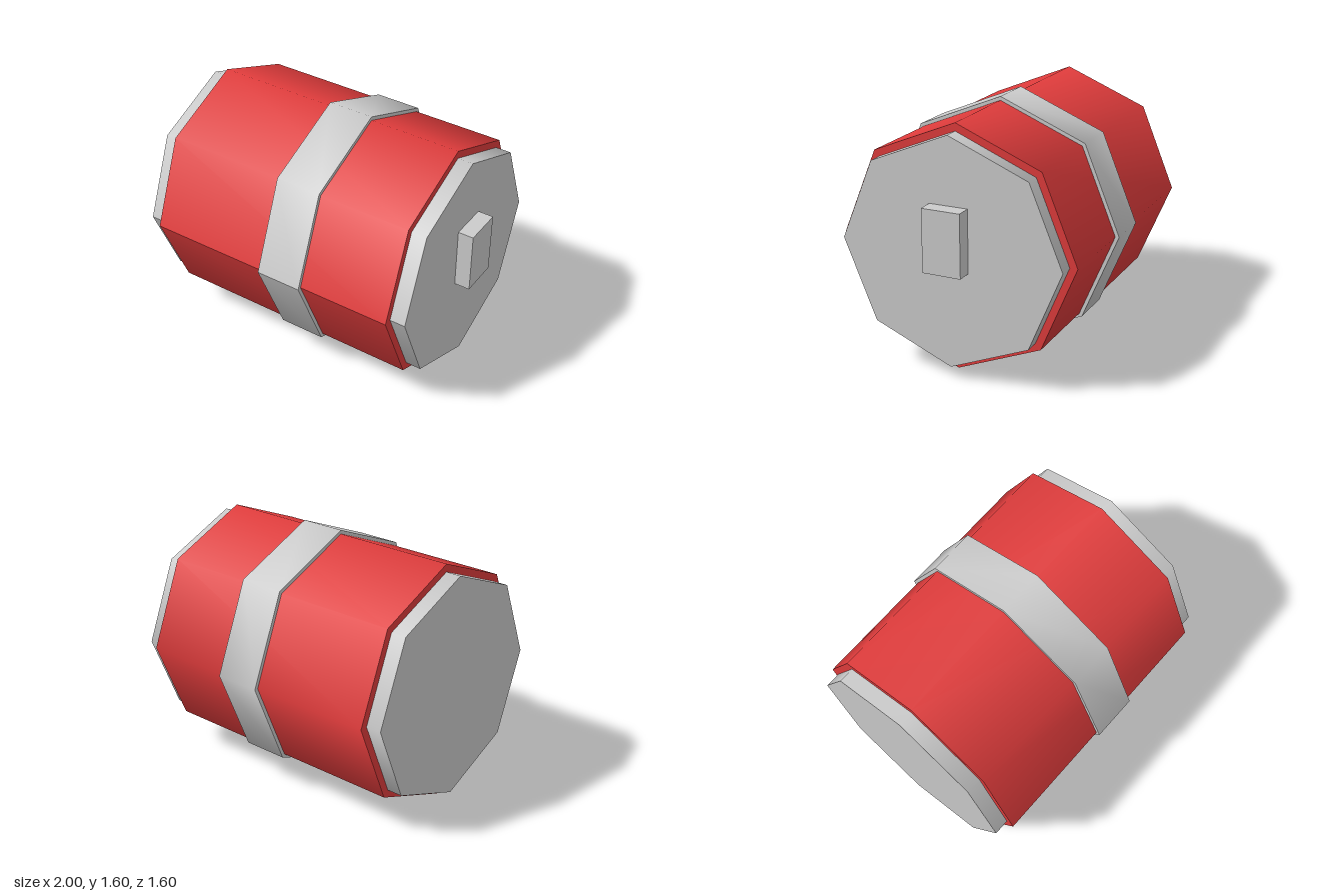
import * as THREE from 'three';

const AXIS_Y = 0.8;

// Eight-sided drum section lying along x, with softened sides and flat ends
function drum(name, radius, x0, x1, color) {
  const geo = new THREE.CylinderGeometry(radius, radius, x1 - x0, 8);
  geo.computeVertexNormals();
  geo.rotateZ(-Math.PI / 2);
  const mesh = new THREE.Mesh(geo, new THREE.MeshStandardMaterial({ color }));
  mesh.position.set((x0 + x1) / 2, AXIS_Y, 0);
  mesh.name = name;
  return mesh;
}

export function createModel() {
  const group = new THREE.Group();
  group.name = 'canister';

  // Inner core shows at both ends; the red shell and centre band wrap it
  group.add(drum('core', 0.725, -1, 0.9, 0xcccccc));
  group.add(drum('shell', 0.775, -0.9, 0.8, 0xff0000));
  group.add(drum('centreBand', 0.8, -0.1, 0.2, 0xcccccc));

  // Small block on the +x end
  const button = new THREE.Mesh(
    new THREE.BoxGeometry(0.1, 0.4, 0.25),
    new THREE.MeshStandardMaterial({ color: 0xcccccc })
  );
  button.position.set(0.95, 0.9, 0);
  button.name = 'endButton';
  group.add(button);

  // Red tone of the shell
  group.getObjectByName('shell').material.color.set(0xe03c3c);
  return group;
}
